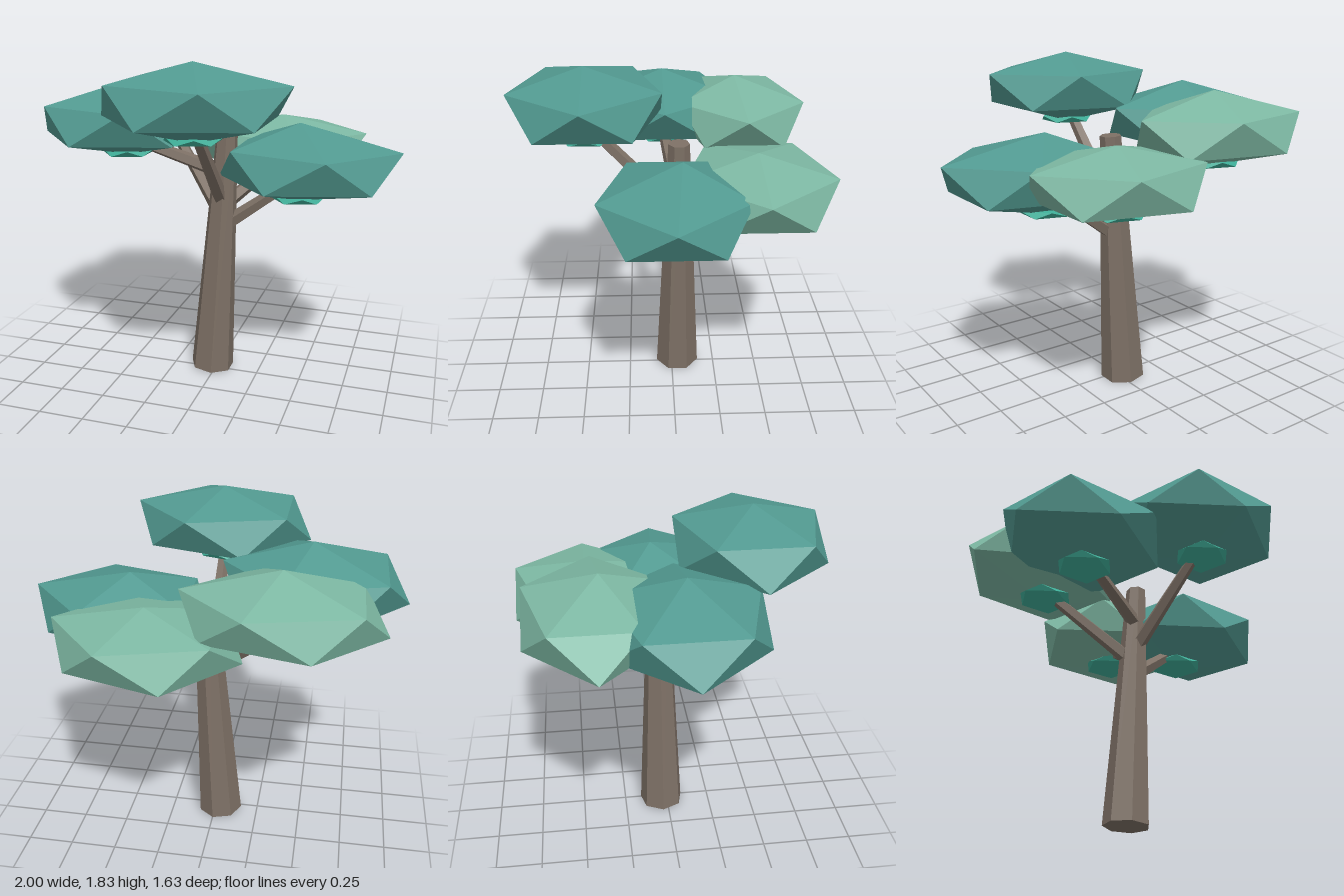
import * as THREE from 'three';

const mat = (name, color) => {
  const m = new THREE.MeshStandardMaterial({ color });
  m.name = name;
  return m;
};

// Faceted normals for low-poly parts
function faceted(geo) {
  const g = geo.index ? geo.toNonIndexed() : geo;
  g.computeVertexNormals();
  return g;
}

// Flattened 20-sided clump: two staggered rings of five between two poles
function clumpGeometry(rx, rz, up, down, ring, ax = 0, az = 0) {
  const vert = (deg, y) => {
    const a = THREE.MathUtils.degToRad(deg);
    const c = Math.cos(a);
    const pinch = Math.abs(c) > 0.7 && Math.abs(c) < 0.9 ? 0.92 : 1;
    return [rx * c * pinch, y, rz * Math.sin(a)];
  };
  const top = [ax, up, az], bottom = [ax, -down, az];
  const pos = [];
  const tri = (...pts) => pts.forEach((p) => pos.push(...p));
  for (let i = 0; i < 5; i++) {
    const u0 = vert(i * 72, ring), u1 = vert(i * 72 + 72, ring);
    const l0 = vert(i * 72 + 36, -ring), l1 = vert(i * 72 + 108, -ring);
    tri(top, u1, u0);
    tri(u0, u1, l0);
    tri(l0, u1, l1);
    tri(bottom, l0, l1);
  }
  const g = new THREE.BufferGeometry();
  g.setAttribute('position', new THREE.Float32BufferAttribute(pos, 3));
  return faceted(g);
}

// Tapered limb between two points
function limb(name, from, to, r0, r1, sides, material) {
  const a = new THREE.Vector3(...from), b = new THREE.Vector3(...to);
  const dir = b.clone().sub(a);
  const geo = new THREE.CylinderGeometry(r1, r0, dir.length(), sides, 1, false, -Math.PI / 2);
  const mesh = new THREE.Mesh(faceted(geo), material);
  mesh.name = name;
  mesh.position.copy(a).add(b).multiplyScalar(0.5);
  mesh.quaternion.setFromUnitVectors(new THREE.Vector3(0, 1, 0), dir.normalize());
  return mesh;
}

export function createModel() {
  const bark = mat('bark', 0x7d7065);
  const teal = mat('dark foliage', 0x529a91);
  const mint = mat('light foliage', 0x7db8a3);
  const under = mat('under foliage', 0x3fae98);

  const tree = new THREE.Group();
  tree.name = 'tree';

  // Leaning seven-sided trunk
  tree.add(limb('trunk', [-0.03, 0.008, -0.033], [0.055, 1.425, -0.035], 0.125, 0.058, 7, bark));

  // Branches
  [
    ['frontBranch', [0.025, 1.05, 0], [0.02, 1.51, 0.43]],
    ['leftBranch', [0.04, 0.88, -0.035], [0.45, 1.18, -0.04]],
    ['rightBranch', [0.03, 1.19, -0.02], [-0.45, 1.35, 0.04]],
    ['backLeftBranch', [0.04, 1.0, -0.04], [0.28, 1.2, -0.4]],
    ['backRightBranch', [0.01, 0.96, -0.04], [-0.37, 1.34, -0.36]],
  ].forEach(([name, from, to]) => tree.add(limb(name, from, to, 0.043, 0.03, 5, bark)));

  // Foliage: name, material, centre, x and z radius, rise, drop, pole offset
  [
    ['frontFoliage', teal, [0.025, 1.64, 0.44], 0.487, 0.405, 0.19, 0.2, 0, 0.01],
    ['leftFoliage', teal, [0.51, 1.27, 0.01], 0.485, 0.385, 0.21, 0.21, -0.055, -0.045],
    ['rightFoliage', teal, [-0.515, 1.46, 0.035], 0.485, 0.405, 0.215, 0.19, 0.02, 0.005],
    ['backLeftFoliage', mint, [0.28, 1.28, -0.42], 0.48, 0.4, 0.175, 0.175, 0.005, 0],
    ['backRightFoliage', mint, [-0.385, 1.46, -0.39], 0.505, 0.36, 0.205, 0.19, 0.01, 0.03],
  ].forEach(([name, material, c, rx, rz, up, down, ax, az]) => {
    const group = new THREE.Group();
    group.name = name;
    group.position.set(...c);
    const clump = new THREE.Mesh(clumpGeometry(rx, rz, up, down, 0.09, ax, az), material);
    clump.name = 'leafClump';
    // Small flat tuft beneath each clump
    const tuft = new THREE.Mesh(clumpGeometry(0.155, 0.14, 0.035, 0.035, 0.016), under);
    tuft.name = 'underTuft';
    tuft.position.set(ax, 0.022 - down, az);
    group.add(clump, tuft);
    tree.add(group);
  });

  return tree;
}
